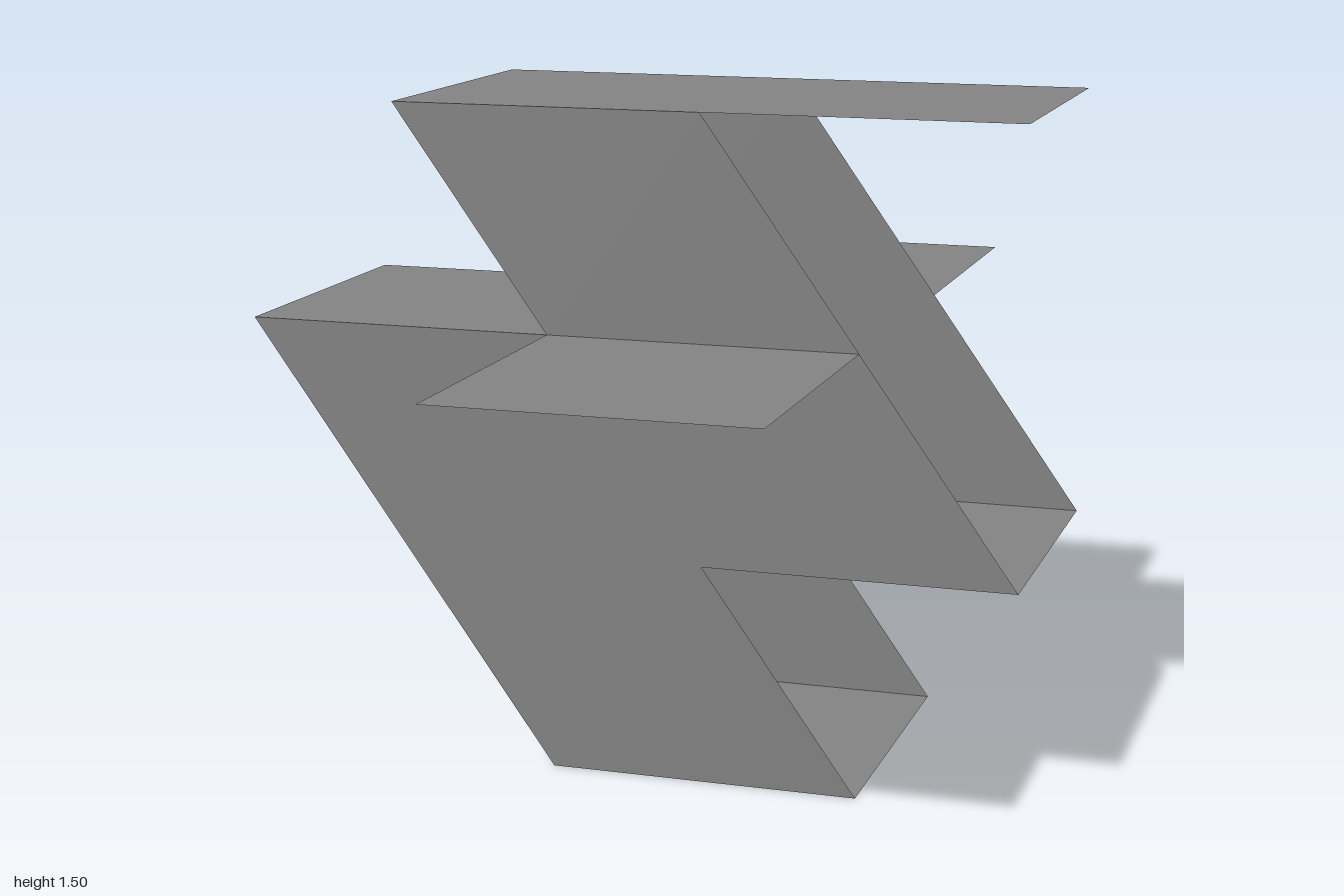
import * as THREE from 'three';

// One grid cell: plan squares of this side, turned 45 degrees about y
const CELL = Math.SQRT1_2;

export function createModel() {
  const model = new THREE.Group();
  model.name = 'foldedSheetModel';
  const material = new THREE.MeshStandardMaterial({
    color: 0x858585, side: THREE.DoubleSide, flatShading: true,
  });

  const body = new THREE.Group();
  body.name = 'body';
  body.rotation.y = Math.PI / 4;
  model.add(body);

  function add(name, geometry, x, y, z) {
    const mesh = new THREE.Mesh(geometry, material);
    mesh.name = name;
    mesh.position.set(x, y, z);
    body.add(mesh);
  }

  // Horizontal sheet, one cell wide, centred on column u, running from v0 to v1
  function plate(name, u, v0, v1, y) {
    const geometry = new THREE.PlaneGeometry(CELL, (v1 - v0) * CELL).rotateX(-Math.PI / 2);
    add(name, geometry, u * CELL, y, ((v0 + v1) / 2) * CELL);
  }

  plate('bottomPlate', 0, -0.5, 0.5, 0);
  plate('frontStepPlate', 0, 0, 1, 0.5);
  plate('rearStepPlate', 0, -1.5, -0.5, 1);
  plate('topPlate', 0, -1, 1, 1.5);

  // Mirrored side walls with a slanted, stepped outline, and the flat wings
  const outline = [
    [-0.5, 0], [0.5, 0], [0, 0.5], [1, 0.5],
    [0, 1.5], [-1, 1.5], [-0.5, 1], [-1.5, 1],
  ];
  const shape = new THREE.Shape(outline.map(([v, y]) => new THREE.Vector2(v * CELL, y)));
  for (const [side, s] of [['left', 1], ['right', -1]]) {
    const wall = new THREE.ShapeGeometry(shape).rotateY(-Math.PI / 2);
    add(side + 'Wall', wall, s * 0.5 * CELL, 0, 0);
    plate(side + 'Wing', s, -0.5, 0.5, 1);
  }

  return model;
}
